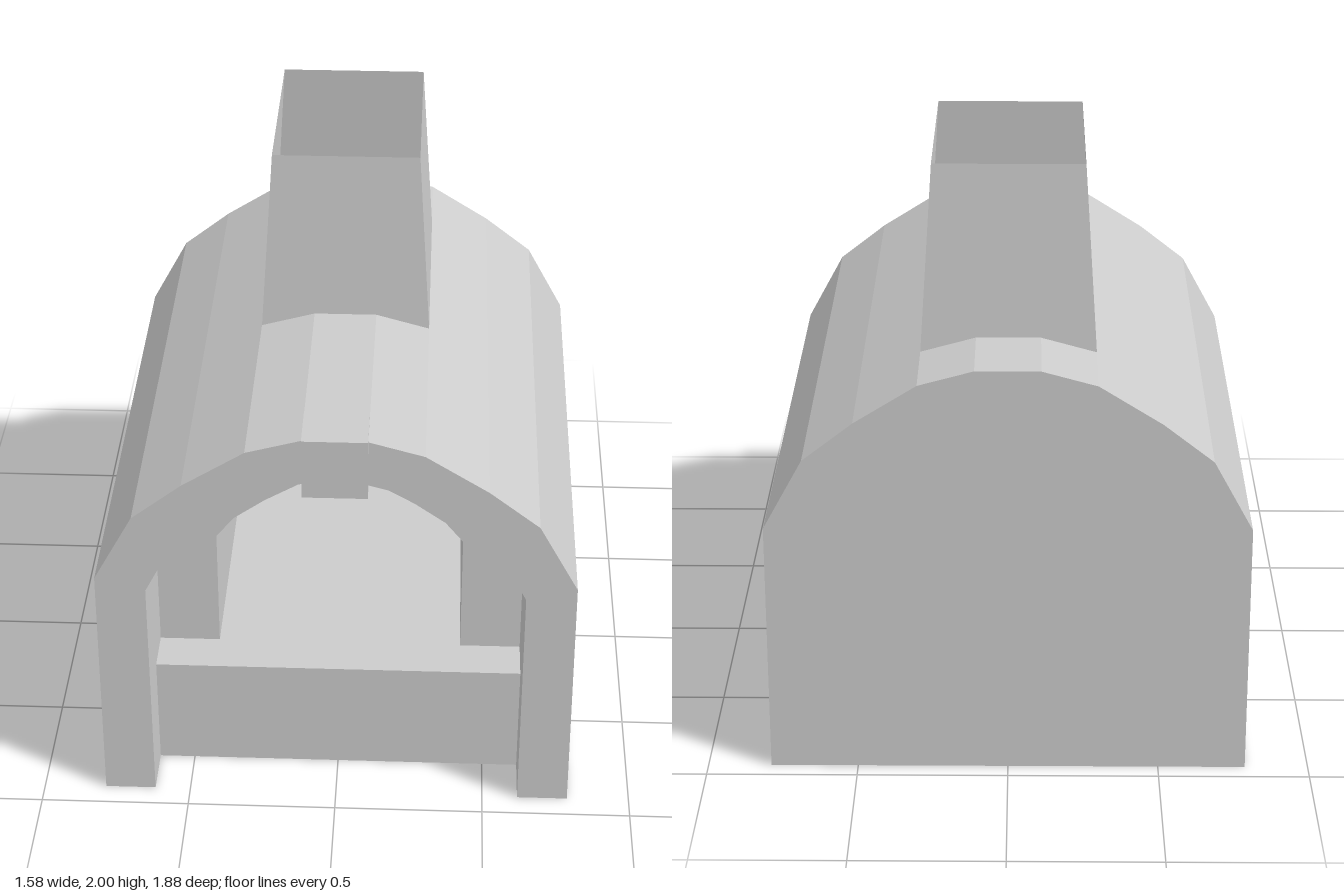
import * as THREE from 'three';

const solid = new THREE.MeshStandardMaterial({ color: 0xcccccc, flatShading: true });
const thin = new THREE.MeshStandardMaterial({ color: 0xcccccc, flatShading: true, side: THREE.DoubleSide });

// Half profiles, from the base up to the crown
const OUTER = [[0.79, 0], [0.785, 0.88], [0.655, 1.12], [0.49, 1.25], [0.285, 1.38], [0.105, 1.43]];
const MOUTH = [[0.62, 0], [0.62, 0.835], [0.515, 1.04], [0.385, 1.145], [0.21, 1.24], [0.08, 1.275]];
const OVEN = [[0.415, 0.4], [0.415, 0.835], [0.355, 0.91], [0.25, 0.985], [0.13, 1.055], [0.08, 1.07]];

const FRONT = 0.92, HEARTH = 0.75, RECESS = 0.6, OVEN_BACK = -0.75, BACK = -0.94;
const HEARTH_Y = 0.4, FLUE_FRONT = 0.12, FLUE_BACK = -0.66;

// Full arch from the +x foot over the crown to the -x foot
const arch = (half) => [...half, ...half.slice().reverse().map(([x, y]) => [-x, y])];
const raised = (half) => [[half[0][0], HEARTH_Y], ...half.slice(1)];

// Flat strips joining two lines of points; faces outward for an arch run front to back
function loft(lineA, lineB) {
  const pos = [];
  for (let i = 0; i < lineA.length - 1; i++) {
    const a = lineA[i], b = lineB[i], c = lineA[i + 1], d = lineB[i + 1];
    pos.push(...a, ...b, ...c, ...b, ...d, ...c);
  }
  const geo = new THREE.BufferGeometry();
  geo.setAttribute('position', new THREE.Float32BufferAttribute(pos, 3));
  geo.computeVertexNormals();
  return geo;
}

const vault = (points, z0, z1) => loft(points.map(([x, y]) => [x, y, z0]), points.map(([x, y]) => [x, y, z1]));

const plate = (points, z) =>
  new THREE.ShapeGeometry(new THREE.Shape(points.map(([x, y]) => new THREE.Vector2(x, y)))).translate(0, 0, z);

export function createModel() {
  const model = new THREE.Group();
  const add = (name, geo, mat = solid, parent = model) => {
    const mesh = new THREE.Mesh(geo, mat);
    mesh.name = name;
    parent.add(mesh);
    return mesh;
  };

  // Outer vault, left open under the flue
  const shell = new THREE.Group();
  shell.name = 'outerVault';
  model.add(shell);
  const outer = arch(OUTER);
  add('vaultFront', vault(outer, FRONT, FLUE_FRONT), solid, shell);
  add('vaultBack', vault(outer, FLUE_BACK, BACK), solid, shell);
  add('vaultLeftOfFlue', vault(outer.slice(0, 5), FLUE_FRONT, FLUE_BACK), solid, shell);
  add('vaultRightOfFlue', vault(outer.slice(7), FLUE_FRONT, FLUE_BACK), solid, shell);

  // Back wall
  add('backWall', plate(outer.map(([x, y]) => [-x, y]), 0).rotateY(Math.PI).translate(0, 0, BACK));

  // Underside, notched between the feet of the front arch
  const underside = [
    [-0.79, BACK], [0.79, BACK], [0.79, FRONT], [0.62, FRONT],
    [0.62, HEARTH], [-0.62, HEARTH], [-0.62, FRONT], [-0.79, FRONT],
  ];
  add('underside', plate(underside, 0).rotateX(Math.PI / 2));

  // Front arch face and its inner side
  add('frontArch', plate([...outer, ...arch(MOUTH).reverse()], FRONT));
  add('mouthFeet', vault(arch(MOUTH).reverse(), FRONT, HEARTH));
  const mouth = arch(raised(MOUTH));
  add('mouthRecess', vault(mouth.slice().reverse(), HEARTH, RECESS));

  // Inner arch face, oven chamber and its back wall
  const oven = arch(OVEN);
  add('innerArch', plate([...mouth, ...oven.slice().reverse()], RECESS));
  add('ovenChamber', vault(oven.slice().reverse(), RECESS, OVEN_BACK));
  add('ovenBack', plate(oven, OVEN_BACK));

  // Hearth: front step and floor
  add('hearthFront', new THREE.PlaneGeometry(1.24, HEARTH_Y).translate(0, HEARTH_Y / 2, HEARTH));
  const floor = (w, z0, z1) =>
    new THREE.PlaneGeometry(w, z0 - z1).rotateX(-Math.PI / 2).translate(0, HEARTH_Y, (z0 + z1) / 2);
  add('hearthLedge', floor(1.24, HEARTH, RECESS));
  add('ovenFloor', floor(0.83, RECESS, OVEN_BACK));

  // Keystone
  add('keystone', new THREE.BoxGeometry(0.21, 0.21, 0.18).translate(0, 1.335, 0.85));

  // Tapered open chimney
  const ring = (x, y, z0, z1) => [[x, y, z0], [x, y, z1], [-x, y, z1], [-x, y, z0], [x, y, z0]];
  add('chimney', loft(ring(0.245, 2, 0.07, -0.61), ring(0.285, 1.38, FLUE_FRONT, FLUE_BACK)), thin);

  return model;
}
